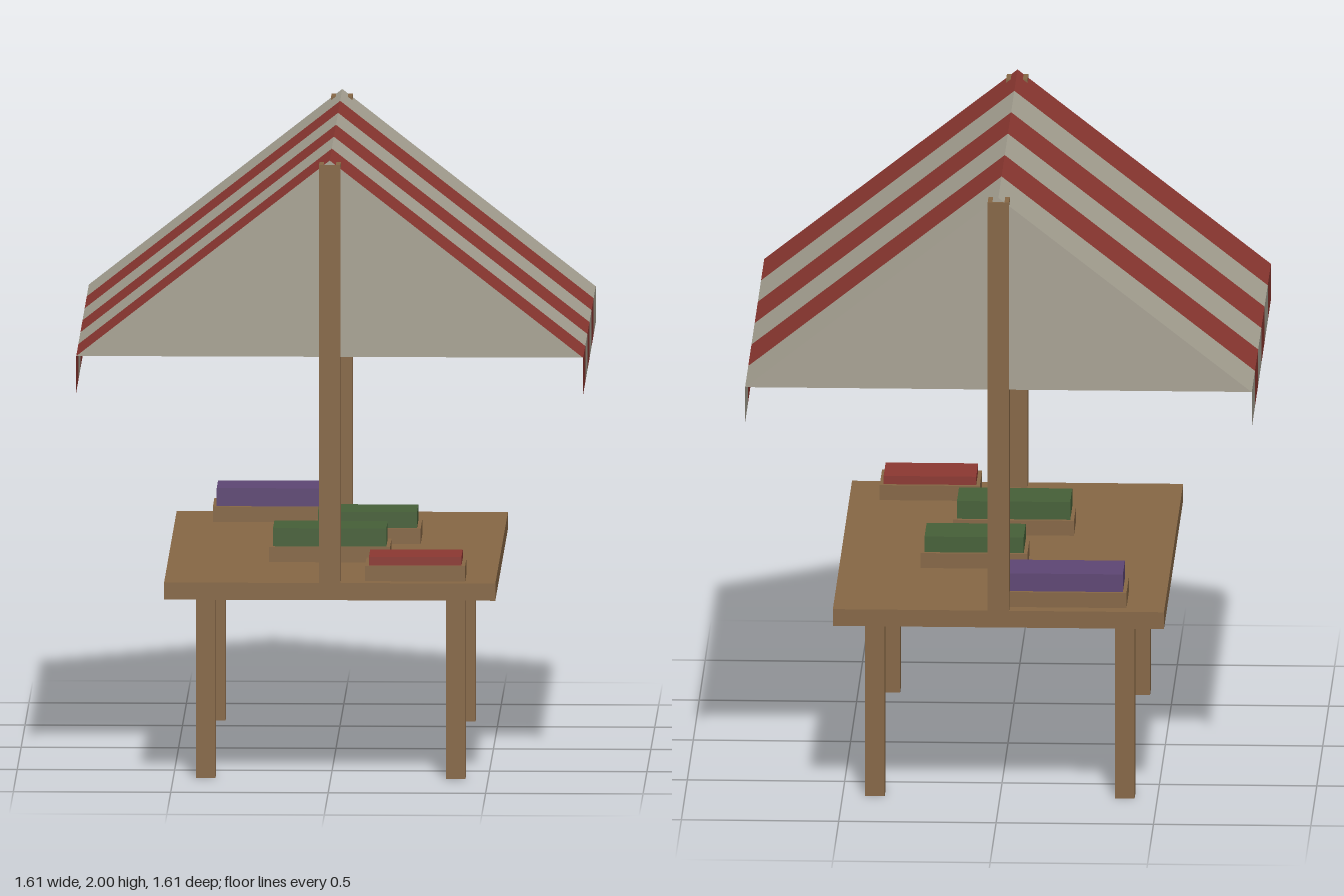
import * as THREE from 'three';

export function createModel() {
  const group = new THREE.Group();
  group.name = 'marketStall';

  const mat = (name, color, side = THREE.FrontSide) => {
    const m = new THREE.MeshStandardMaterial({ color, side });
    m.name = name;
    return m;
  };
  const wood = mat('wood', 0x866745);
  const green = mat('greenGoods', 0x466038);
  const purple = mat('purpleGoods', 0x5e4674);
  const redGoods = mat('redGoods', 0x8c3831);
  const redCloth = mat('redCloth', 0x8c3831, THREE.DoubleSide);
  const creamCloth = mat('creamCloth', 0xa8a394, THREE.DoubleSide);

  const add = (name, geometry, material) => {
    const mesh = new THREE.Mesh(geometry, material);
    mesh.name = name;
    group.add(mesh);
    return mesh;
  };
  // Box given by its min and max on each axis
  const box = (name, material, x0, x1, y0, y1, z0, z1) =>
    add(name, new THREE.BoxGeometry(x1 - x0, y1 - y0, z1 - z0), material)
      .position.set((x0 + x1) / 2, (y0 + y1) / 2, (z0 + z1) / 2);

  const END = 0.805, EAVE = 1.37, TOP = 0.645, UNDER = 0.59;

  // Table
  box('tableTop', wood, -0.526, 0.526, UNDER, TOP, -END, END);
  for (const sx of [-1, 1]) for (const sz of [-1, 1]) {
    const x = sx * 0.397, z = sz * 0.649;
    box('leg', wood, x - 0.031, x + 0.031, 0, UNDER, z - 0.031, z + 0.031);
  }

  // Roof posts and the cloth triangles that close each end
  const triangle = new THREE.Shape([
    new THREE.Vector2(-END, EAVE), new THREE.Vector2(END, EAVE), new THREE.Vector2(0, 2),
  ]);
  for (const s of [-1, 1]) {
    const z = s * (END - 0.034);
    box('post', wood, -0.034, 0.034, TOP, 1.985, z - 0.034, z + 0.034);
    const gable = add('gable', new THREE.ShapeGeometry(triangle), creamCloth);
    gable.position.z = s * (END - 0.003);
    if (s < 0) gable.rotation.y = Math.PI;
  }

  // Striped awning: a thin profile of valance, two slopes and valance, one strip per stripe
  const profile = [[-END, 1.253], [-END, EAVE], [0, 2], [END, EAVE], [END, 1.253]];
  const stripe = (z0, z1) => {
    const pos = [];
    for (let i = 0; i < profile.length - 1; i++) {
      const a = profile[i], b = profile[i + 1];
      pos.push(...a, z1, ...b, z1, ...b, z0, ...a, z1, ...b, z0, ...a, z0);
    }
    const g = new THREE.BufferGeometry();
    g.setAttribute('position', new THREE.Float32BufferAttribute(pos, 3));
    g.computeVertexNormals();
    return g;
  };
  const w = (2 * END) / 6;
  for (let i = 0; i < 6; i++) {
    add('awningStripe', stripe(-END + i * w, -END + (i + 1) * w), i % 2 ? redCloth : creamCloth);
  }

  // Crates of goods: x range, z range, top of goods
  const crates = [
    [0.111, 0.429, 0.566, 0.76, 0.721, redGoods],
    [-0.204, 0.18, 0.142, 0.339, 0.752, green],
    [-0.072, 0.267, -0.28, -0.082, 0.745, green],
    [-0.405, -0.01, -0.757, -0.558, 0.752, purple],
  ];
  for (const [x0, x1, z0, z1, top, goods] of crates) {
    box('crate', wood, x0, x1, TOP, 0.694, z0, z1);
    box('goods', goods, x0 + 0.012, x1 - 0.012, 0.694, top, z0 + 0.013, z1 - 0.013);
  }
  return group;
}
